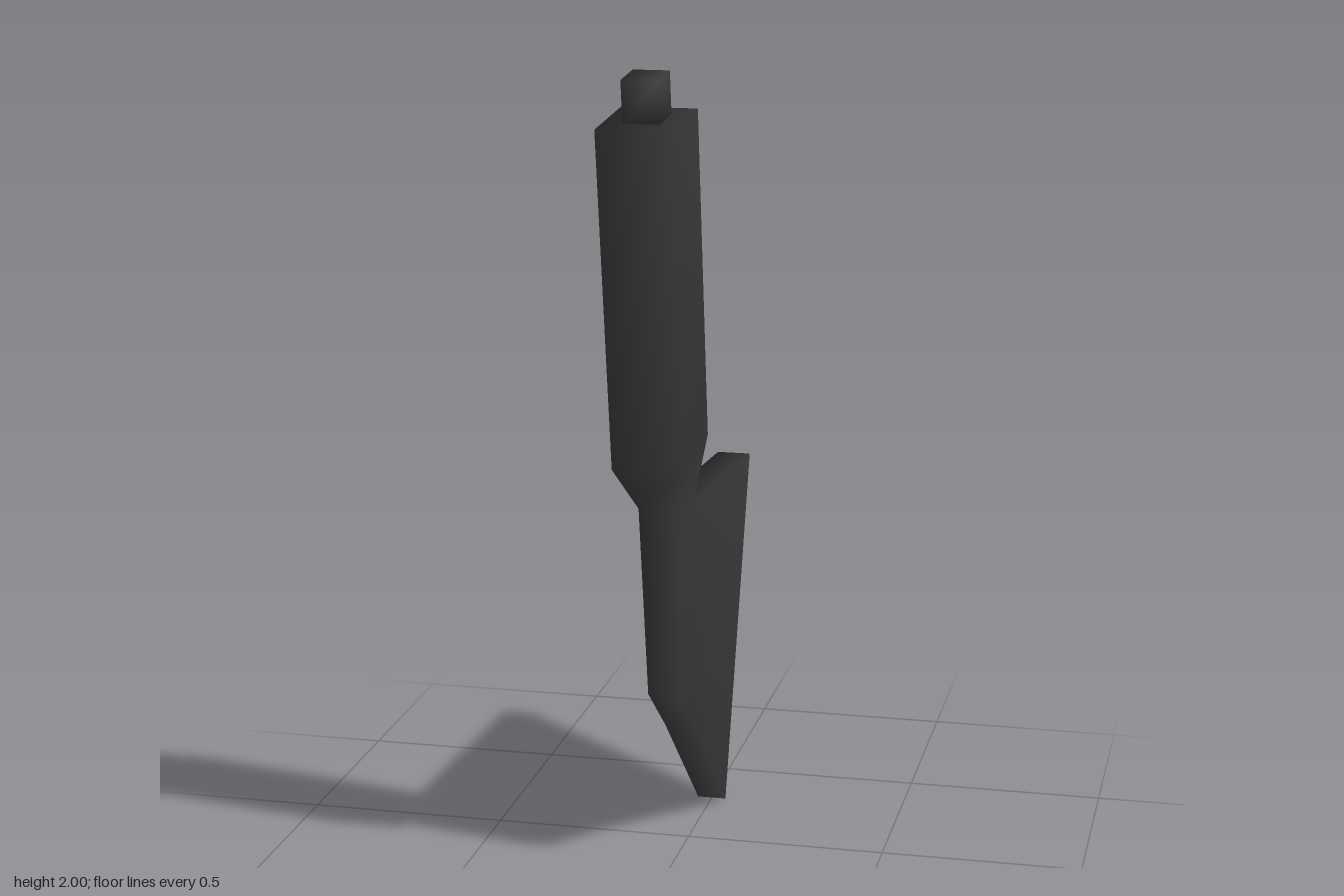
import * as THREE from 'three';

// Smooth-shaded solid from a side outline of [z, y, halfWidth] points, mirrored across x.
// The outline runs counter-clockwise seen from +x; panels are the polygons filling each side.
function mirroredSolid(name, outline, panels, material) {
  const n = outline.length;
  const positions = [];
  for (const side of [1, -1]) {
    for (const [z, y, w] of outline) positions.push(side * w, y, z);
  }
  const index = [];
  for (const p of panels) {
    for (let i = 1; i < p.length - 1; i++) {
      index.push(p[0], p[i], p[i + 1]);
      index.push(n + p[0], n + p[i + 1], n + p[i]);
    }
  }
  // rim joining the two sides
  for (let i = 0; i < n; i++) {
    const j = (i + 1) % n;
    index.push(i, n + i, n + j, i, n + j, j);
  }
  const geometry = new THREE.BufferGeometry();
  geometry.setAttribute('position', new THREE.Float32BufferAttribute(positions, 3));
  geometry.setIndex(index);
  geometry.computeVertexNormals();
  const mesh = new THREE.Mesh(geometry, material);
  mesh.name = name;
  return mesh;
}

export function createModel() {
  const group = new THREE.Group();
  group.name = 'bladedTool';
  const darkMetal = new THREE.MeshStandardMaterial({ color: 0x383838 });
  darkMetal.name = 'charcoal';

  // thick handle, tapering neck and flared flat blade in one skin
  group.add(mirroredSolid('handleAndBlade', [
    [0.553, 1.885, 0.09],  // 0 handle top front
    [0.417, 1.07, 0.09],   // 1 handle bottom front
    [0.347, 0.96, 0.043],  // 2 neck front
    [0.277, 0.475, 0.038], // 3 blade heel
    [0.09, 0.33, 0.039],   // 4 blade lower edge
    [-0.28, 0.0, 0.037],   // 5 blade lower tip
    [-0.55, 0.875, 0.043], // 6 blade upper tip
    [0.14, 0.92, 0.043],   // 7 neck back
    [0.19, 1.11, 0.09],    // 8 handle bottom back
    [0.303, 1.905, 0.09],  // 9 handle top back
  ], [[0, 1, 8, 9], [1, 2, 7, 8], [7, 2, 3, 4], [7, 4, 5, 6]], darkMetal));

  // small peg on the handle's end
  group.add(mirroredSolid('endPeg', [
    [0.5, 1.99, 0.043],
    [0.483, 1.885, 0.043],
    [0.366, 1.895, 0.043],
    [0.383, 2.0, 0.043],
  ], [[0, 1, 2, 3]], darkMetal));

  return group;
}
